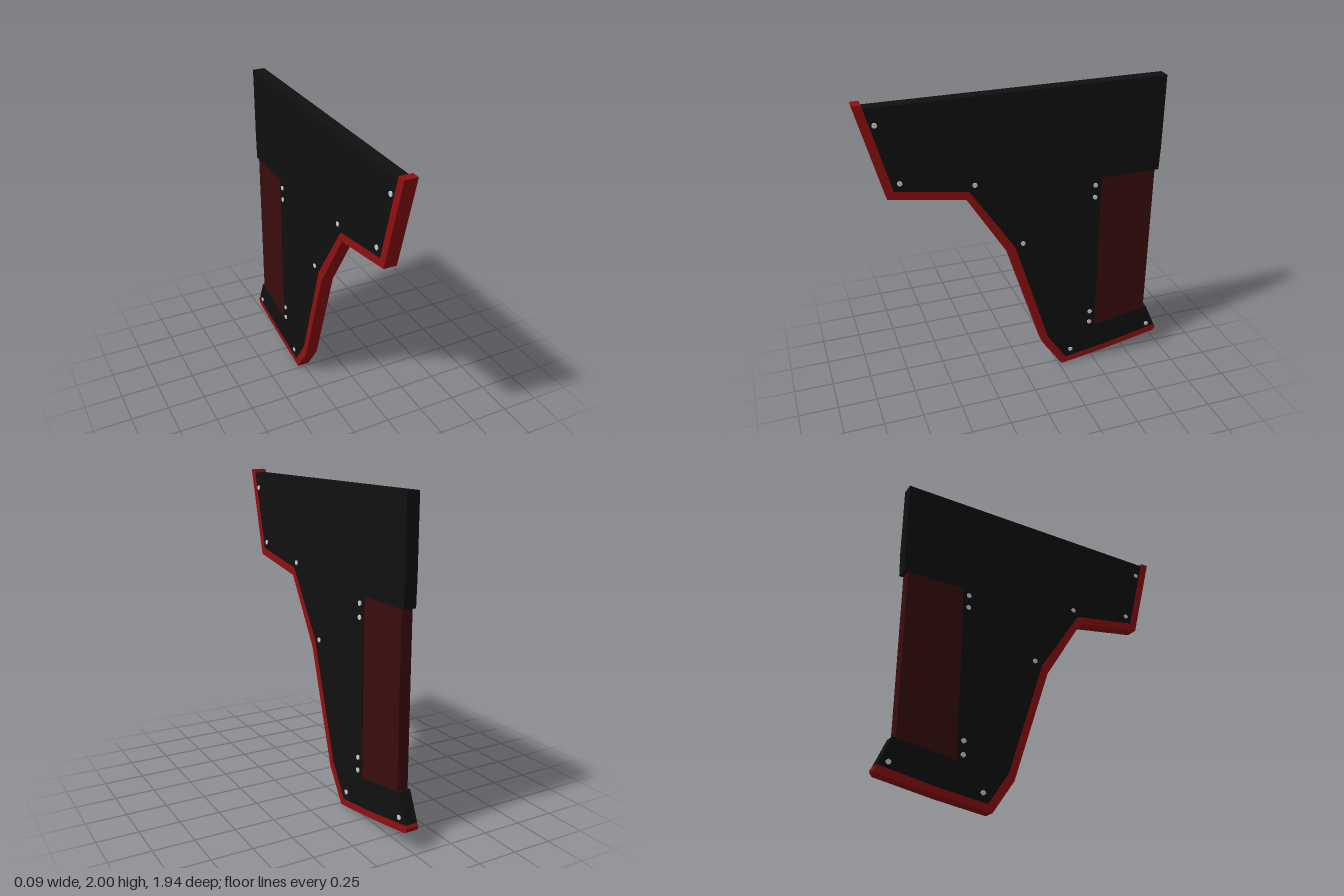
import * as THREE from 'three';

const material = (color) => new THREE.MeshStandardMaterial({ color });

// Extrudes a side outline of [z, y] points, centred on x = 0.
function plate(name, points, width, mat) {
  const shape = new THREE.Shape(points.map(([z, y]) => new THREE.Vector2(z, y)));
  const geo = new THREE.ExtrudeGeometry(shape, { depth: width, bevelEnabled: false });
  geo.translate(0, 0, -width / 2).rotateY(-Math.PI / 2);
  const mesh = new THREE.Mesh(geo, mat);
  mesh.name = name;
  return mesh;
}

export function createModel() {
  const group = new THREE.Group();
  const black = material(0x101010);
  const red = material(0x900f0f);
  const darkRed = material(0x3a0d0d);
  const metal = material(0xcccccc);

  // Inner and outer lines of the front and bottom trim
  const inner = [[0.92, 2], [0.785, 1.475], [0.345, 1.405], [0.065, 0.985],
    [-0.165, 0.25], [-0.297, 0.05], [-0.6, 0.098], [-0.96, 0.17]];
  const outer = [[0.972, 2], [0.825, 1.43], [0.363, 1.355], [0.102, 0.935],
    [-0.13, 0.207], [-0.268, 0.003], [-0.6, 0.055], [-0.952, 0.122], [-0.968, 0.14], [-0.97, 0.155]];
  group.add(plate('edgeTrim', [...outer, ...inner.slice().reverse()], 0.08, red));

  // Main body with the notch at the back
  const body = [[0.915, 1.98], ...inner.slice(1), [-0.885, 0.34], [-0.5, 0.27],
    [-0.5, 1.37], [-0.89, 1.37], [-0.895, 1.53], [-0.895, 1.98]];
  group.add(plate('body', body, 0.078, black));

  // Panel filling the notch
  group.add(plate('rearPanel', [[-0.5, 0.27], [-0.865, 0.336], [-0.865, 1.37], [-0.5, 1.37]], 0.07, darkRed));

  // Rivets through both sides
  const rivets = new THREE.Group();
  rivets.name = 'rivets';
  const rivetGeo = new THREE.CylinderGeometry(0.015, 0.015, 0.09, 16).rotateZ(Math.PI / 2);
  for (const [z, y] of [[0.86, 1.88], [0.748, 1.52], [0.31, 1.443], [0.012, 1], [-0.462, 1.325],
    [-0.462, 1.243], [-0.462, 0.39], [-0.462, 0.308], [-0.33, 0.11], [-0.898, 0.194]]) {
    const rivet = new THREE.Mesh(rivetGeo, metal);
    rivet.name = 'rivet';
    rivet.position.set(0, y, z);
    rivets.add(rivet);
  }
  group.add(rivets);
  return group;
}
